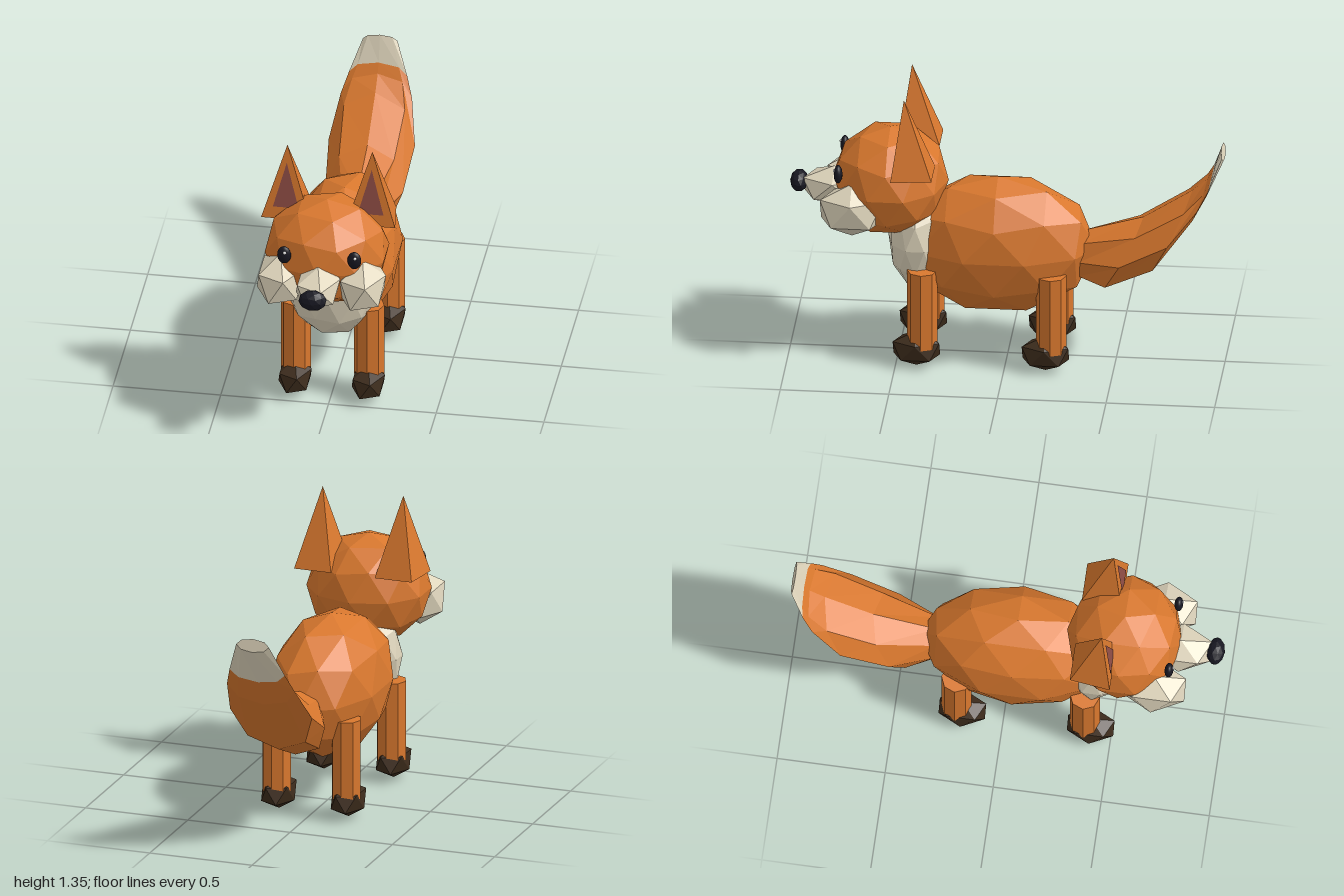
import * as THREE from 'three';
import { ConvexGeometry } from 'three/addons/geometries/ConvexGeometry.js';

const paint = (name, color) => {
  const m = new THREE.MeshStandardMaterial({ color });
  m.name = name;
  return m;
};

// Faceted ball with its poles on the y axis
function icoBall(rx, ry, rz, detail) {
  const v = [0, 1, 0], f = [];
  const h = Math.sqrt(0.2), r = 2 * h;
  for (const [y, start] of [[h, 0], [-h, Math.PI / 5]]) {
    for (let i = 0; i < 5; i++) {
      const a = start + i * Math.PI * 0.4;
      v.push(r * Math.cos(a), y, -r * Math.sin(a));
    }
  }
  v.push(0, -1, 0);
  for (let i = 0; i < 5; i++) {
    const n = (i + 1) % 5, u = 1 + i, u2 = 1 + n, l = 6 + i, l2 = 6 + n;
    f.push(0, u, u2, u, l, u2, l, l2, u2, 11, l2, l);
  }
  return flat(new THREE.PolyhedronGeometry(v, f, 1, detail).scale(rx, ry, rz));
}

function flat(geometry) {
  const g = geometry.index ? geometry.toNonIndexed() : geometry;
  g.computeVertexNormals();
  return g;
}

// Faceted skin through eight-sided rings: [topZ, topY, bottomZ, bottomY, halfWidth]
function loft(rings, capStart, capEnd) {
  const N = 8, pos = [];
  const point = ([tz, ty, bz, by, w], j) => {
    const a = (j / N) * Math.PI * 2, s = Math.sin(a) / 2;
    return [w * Math.cos(a), (ty + by) / 2 + s * (ty - by), (tz + bz) / 2 + s * (tz - bz)];
  };
  const centre = ([tz, ty, bz, by]) => [0, (ty + by) / 2, (tz + bz) / 2];
  const first = rings[0], last = rings[rings.length - 1];
  for (let j = 0; j < N; j++) {
    for (let i = 0; i < rings.length - 1; i++) {
      const a = point(rings[i], j), b = point(rings[i + 1], j);
      const c = point(rings[i + 1], j + 1), d = point(rings[i], j + 1);
      pos.push(...a, ...b, ...c, ...a, ...c, ...d);
    }
    if (capStart) pos.push(...centre(first), ...point(first, j), ...point(first, j + 1));
    if (capEnd) pos.push(...centre(last), ...point(last, j + 1), ...point(last, j));
  }
  const g = new THREE.BufferGeometry();
  g.setAttribute('position', new THREE.Float32BufferAttribute(pos, 3));
  return flat(g);
}

export function createModel() {
  const orange = paint('orange fur', 0xd9782e);
  const cream = paint('cream fur', 0xdfd5bc);
  const brown = paint('dark brown paw', 0x3d2c1c);
  const black = paint('black', 0x181822);
  const earPink = paint('inner ear', 0x8f4d45);
  const white = paint('eye glint', 0xf4f4f4);

  const model = new THREE.Group();
  model.name = 'fox';
  const add = (name, geometry, material, x = 0, y = 0, z = 0) => {
    const mesh = new THREE.Mesh(geometry, material);
    mesh.name = name;
    mesh.position.set(x, y, z);
    model.add(mesh);
    return mesh;
  };

  // Body, chest and head
  add('body', icoBall(0.263, 0.335, 0.456, 1), orange, 0, 0.555, 0.045);
  add('chest', icoBall(0.207, 0.25, 0.14, 1), cream, 0, 0.58, 0.41);
  add('head', icoBall(0.29, 0.26, 0.268, 1), orange, 0, 0.862, 0.54);
  add('muzzle', icoBall(0.115, 0.095, 0.165, 0), cream, 0, 0.815, 0.8);
  add('nose', icoBall(0.066, 0.05, 0.042, 1), black, 0, 0.83, 0.96);

  // Ear pyramid, leaning forward
  const earGeometry = new ConvexGeometry([
    new THREE.Vector3(-0.114, 0.98, 0.512), new THREE.Vector3(0.114, 0.98, 0.512),
    new THREE.Vector3(-0.09, 0.98, 0.325), new THREE.Vector3(0.09, 0.98, 0.325),
    new THREE.Vector3(0, 1.347, 0.46),
  ]);
  const innerEar = new THREE.BufferGeometry();
  innerEar.setAttribute('position', new THREE.Float32BufferAttribute(
    [-0.06, 1.04, 0.509, 0.06, 1.04, 0.509, 0, 1.26, 0.477], 3));
  innerEar.computeVertexNormals();

  const eyeGeometry = new THREE.SphereGeometry(1, 16, 12).scale(0.032, 0.044, 0.02);
  const glintGeometry = new THREE.SphereGeometry(0.008, 8, 6);
  const legGeometry = flat(new THREE.CylinderGeometry(0.07, 0.07, 0.38, 8));
  const pawGeometry = icoBall(0.086, 0.085, 0.126, 0);
  const cheekGeometry = icoBall(0.122, 0.13, 0.17, 0);

  for (const [side, s] of [['left', 1], ['right', -1]]) {
    add(side + 'Cheek', cheekGeometry, cream, s * 0.19, 0.78, 0.7);
    add(side + 'Ear', earGeometry, orange, s * 0.197);
    add(side + 'InnerEar', innerEar, earPink, s * 0.197);
    add(side + 'Eye', eyeGeometry, black, s * 0.163, 0.944, 0.766);
    add(side + 'EyeGlint', glintGeometry, white, s * 0.163 + 0.005, 0.963, 0.782);
    // Legs and paws
    for (const [end, z] of [['Front', 0.378], ['Rear', -0.216]]) {
      add(side + end + 'Leg', legGeometry, orange, s * 0.17, 0.29, z);
      add(side + end + 'Paw', pawGeometry, brown, s * 0.17, 0.085, z + 0.027);
    }
  }

  // Tail sweeping up to a pale tip
  const join = [-0.945, 0.965, -0.92, 0.86, 0.135];
  add('tail', loft([
    [-0.33, 0.63, -0.33, 0.4, 0.1],
    [-0.625, 0.715, -0.43, 0.355, 0.18],
    [-0.85, 0.86, -0.65, 0.45, 0.2],
    [-0.92, 0.92, -0.85, 0.73, 0.165],
    join,
  ], true, false), orange);
  add('tailTip', loft([join, [-0.985, 1.09, -1.0, 1.03, 0.08]], false, true), cream);

  return model;
}
